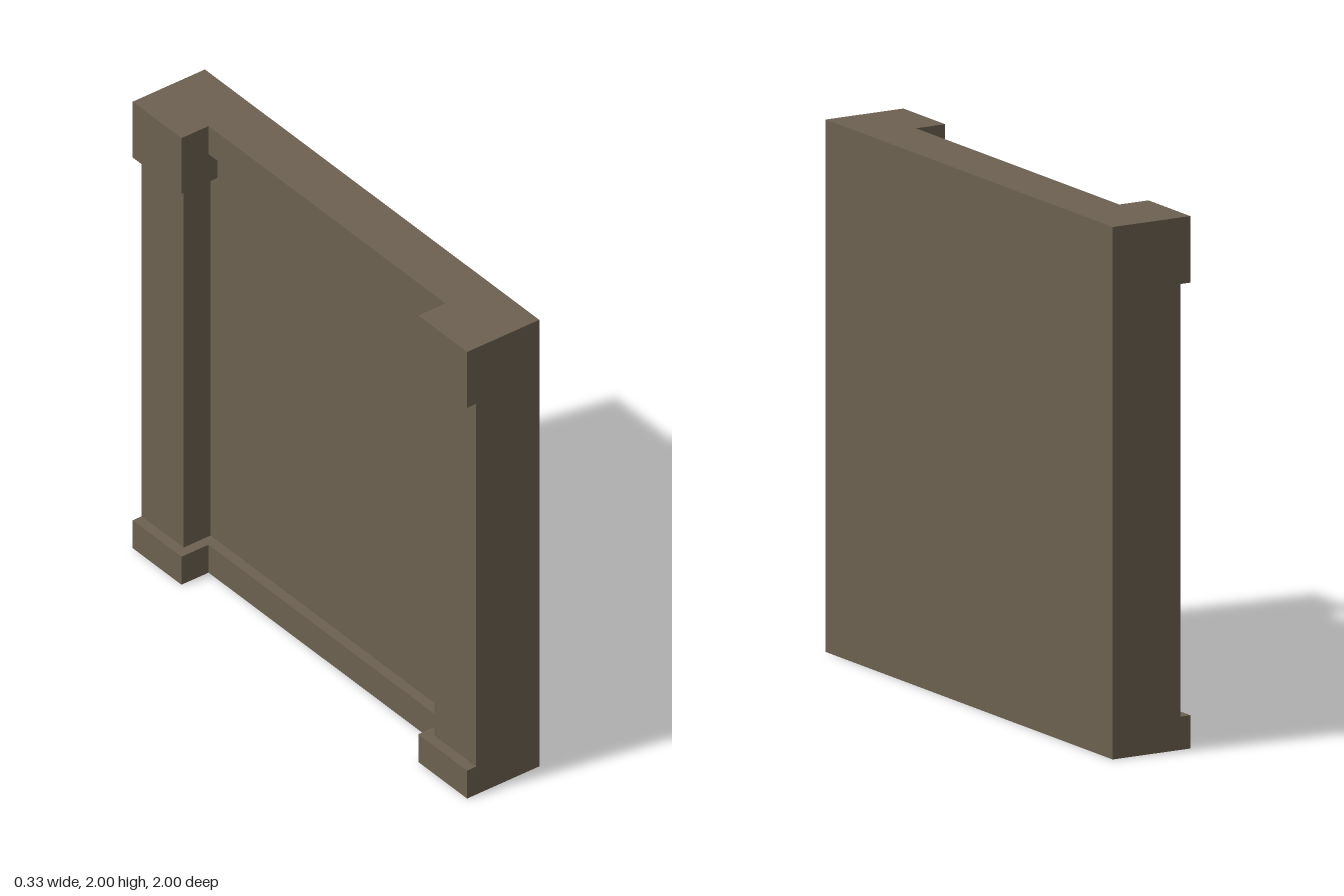
import * as THREE from 'three';

const U = 1 / 24; // modelling unit: the panel is 48 x 48 x 8 units

export function createModel() {
  const group = new THREE.Group();
  const stone = new THREE.MeshStandardMaterial({ color: 0x6c6150 });
  stone.name = 'brownStone';

  // Box given by its limits in units
  const block = (name, x0, x1, y0, y1, z0, z1) => {
    const geometry = new THREE.BoxGeometry((x1 - x0) * U, (y1 - y0) * U, (z1 - z0) * U);
    const mesh = new THREE.Mesh(geometry, stone);
    mesh.position.set((x0 + x1) / 2 * U, (y0 + y1) / 2 * U, (z0 + z1) / 2 * U);
    mesh.name = name;
    group.add(mesh);
  };

  // Plain wall behind the relief
  block('wallPanel', 0, 4, 0, 48, -24, 24);

  // Rails along the top and bottom, between the columns
  block('topRail', -1, 0, 45, 48, -17, 17);
  block('bottomRail', -1, 0, 0, 3, -17, 17);

  // A column with base and capital at each end
  for (const side of [-1, 1]) {
    const column = (name, depth, y0, y1, width) => {
      const ends = [side * 24, side * (24 - width)];
      block(name, -depth, 0, y0, y1, Math.min(...ends), Math.max(...ends));
    };
    const end = side > 0 ? 'front' : 'back';
    column(end + 'Base', 4, 0, 3, 7);
    column(end + 'Shaft', 3, 3, 42, 6);
    column(end + 'Capital', 4, 42, 48, 7);
  }
  return group;
}
